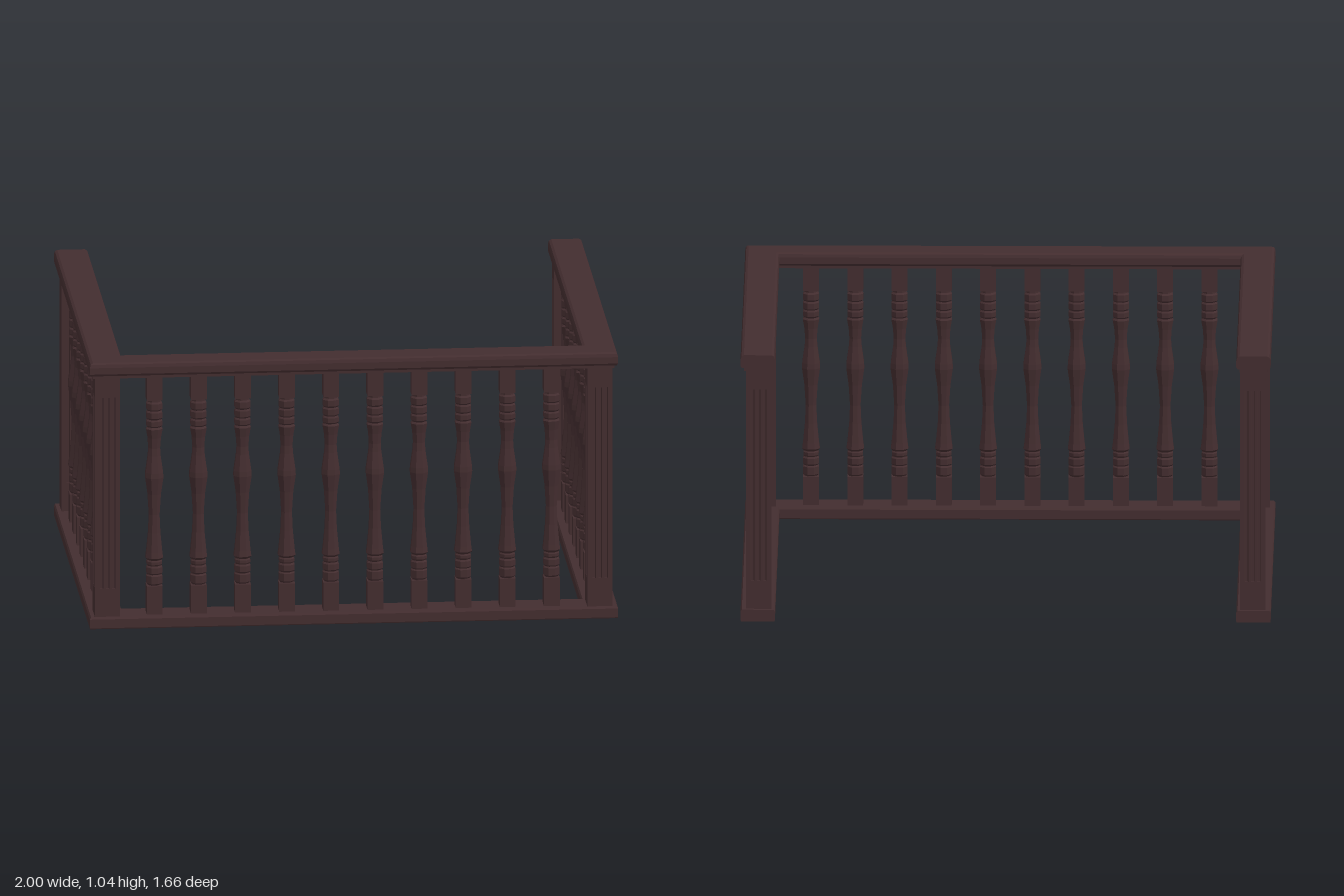
import * as THREE from 'three';

const wood = new THREE.MeshStandardMaterial({ color: 0x432d2f });
wood.name = 'dark wood';

// Centre line of the U-shaped plan
const CX = 0.935, CZ = 0.765, BACK = -0.83;

function mesh(geometry, name, parent, x = 0, y = 0, z = 0) {
  const m = new THREE.Mesh(geometry, wood);
  m.name = name;
  m.position.set(x, y, z);
  parent.add(m);
  return m;
}

// Sweeps a rail section [outward offset, height] round the plan with mitred corners
function railGeometry(section) {
  const stations = [[-1, BACK, 0], [-1, CZ, 1], [1, CZ, 1], [1, BACK, 0]].map(([s, z, corner]) =>
    section.map(([d, y]) => new THREE.Vector3(s * (CX + d), y, z + corner * d)));
  const pos = [];
  const tri = (a, b, c) => pos.push(...a, ...b, ...c);
  const n = section.length;
  for (let i = 0; i < 3; i++) {
    for (let j = 0; j < n; j++) {
      const k = (j + 1) % n;
      const a = stations[i][j], b = stations[i + 1][j], c = stations[i + 1][k], d = stations[i][k];
      tri(a, b, c);
      tri(a, c, d);
    }
  }
  // End caps at the open back
  for (let j = 1; j < n - 1; j++) {
    const s = stations[0], e = stations[3];
    tri(s[0], s[j], s[j + 1]);
    tri(e[0], e[j + 1], e[j]);
  }
  const g = new THREE.BufferGeometry();
  g.setAttribute('position', new THREE.Float32BufferAttribute(pos, 3));
  g.computeVertexNormals();
  return g;
}

// Symmetric section: the outer half runs upwards, the inner half mirrors it
const section = (half) => [...half, ...half.slice().reverse().map(([d, y]) => [-d, y])];

// Square outline with three flutes cut in each side
function flutedGeometry(half, height) {
  const shape = new THREE.Shape();
  const side = [[-half, -half]];
  for (const c of [-0.023, 0, 0.023]) {
    side.push([c - 0.007, -half], [c - 0.004, -half + 0.007], [c + 0.004, -half + 0.007], [c + 0.007, -half]);
  }
  for (let k = 0; k < 4; k++) {
    const co = Math.round(Math.cos(k * Math.PI / 2)), si = Math.round(Math.sin(k * Math.PI / 2));
    side.forEach(([x, y], i) => {
      const px = x * co - y * si, py = x * si + y * co;
      if (k === 0 && i === 0) shape.moveTo(px, py);
      else shape.lineTo(px, py);
    });
  }
  shape.closePath();
  return new THREE.ExtrudeGeometry(shape, { depth: height, bevelEnabled: false }).rotateX(-Math.PI / 2);
}

// Turned middle of a baluster: rings, flare, waist, belly, waist, flare, rings
const turned = [
  [0.024, 0.145], [0.024, 0.157], [0.03, 0.163], [0.03, 0.192], [0.025, 0.197],
  [0.03, 0.203], [0.03, 0.225], [0.025, 0.231], [0.029, 0.237], [0.029, 0.248],
  [0.025, 0.253], [0.033, 0.262], [0.03, 0.285], [0.023, 0.36], [0.02, 0.43],
  [0.025, 0.51], [0.034, 0.575], [0.033, 0.595], [0.024, 0.66], [0.022, 0.69],
  [0.025, 0.73], [0.031, 0.765], [0.025, 0.772], [0.03, 0.778], [0.03, 0.796],
  [0.025, 0.802], [0.03, 0.808], [0.03, 0.83], [0.025, 0.836], [0.03, 0.842],
  [0.03, 0.865], [0.024, 0.871], [0.024, 0.89],
].map(([r, y]) => new THREE.Vector2(r / Math.cos(Math.PI / 8), y));

export function createModel() {
  const model = new THREE.Group();
  model.name = 'balustrade';

  // Rails
  mesh(railGeometry(section([[0.063, 0], [0.065, 0.004], [0.065, 0.038], [0.06, 0.045]])), 'bottomRail', model);
  mesh(railGeometry(section([[0.052, 0.975], [0.052, 0.988]])), 'handrailMoulding', model);
  mesh(railGeometry(section([[0.06, 0.987], [0.065, 0.995], [0.065, 1.02], [0.061, 1.032], [0.052, 1.037]])), 'handrail', model);

  // Fluted posts at the corners and the open ends
  const half = 0.048;
  const foot = new THREE.BoxGeometry(half * 2, 0.115, half * 2);
  const head = new THREE.BoxGeometry(half * 2, 0.085, half * 2);
  const shaft = flutedGeometry(half, 0.745);
  for (const x of [-0.932, 0.932]) {
    for (const z of [-0.767, 0.769]) {
      const post = new THREE.Group();
      post.name = 'post';
      post.position.set(x, 0, z);
      mesh(foot, 'postFoot', post, 0, 0.0975, 0);
      mesh(shaft, 'postShaft', post, 0, 0.155, 0);
      mesh(head, 'postHead', post, 0, 0.9425, 0);
      model.add(post);
    }
  }

  // Balusters
  const lowerBlock = new THREE.BoxGeometry(0.06, 0.115, 0.06);
  const upperBlock = new THREE.BoxGeometry(0.06, 0.1, 0.06);
  const spindle = new THREE.LatheGeometry(turned, 8, Math.PI / 8).toNonIndexed();
  spindle.computeVertexNormals();
  const addBaluster = (x, z) => {
    const baluster = new THREE.Group();
    baluster.name = 'baluster';
    baluster.position.set(x, 0, z);
    mesh(lowerBlock, 'lowerBlock', baluster, 0, 0.0975, 0);
    mesh(spindle, 'spindle', baluster);
    mesh(upperBlock, 'upperBlock', baluster, 0, 0.93, 0);
    model.add(baluster);
  };
  const step = 0.167;
  for (let i = 0; i < 10; i++) addBaluster((i - 4.5) * step, 0.769);
  for (let i = 0; i < 8; i++) {
    const z = 0.587 - i * step;
    addBaluster(-0.932, z);
    addBaluster(0.932, z);
  }
  return model;
}
